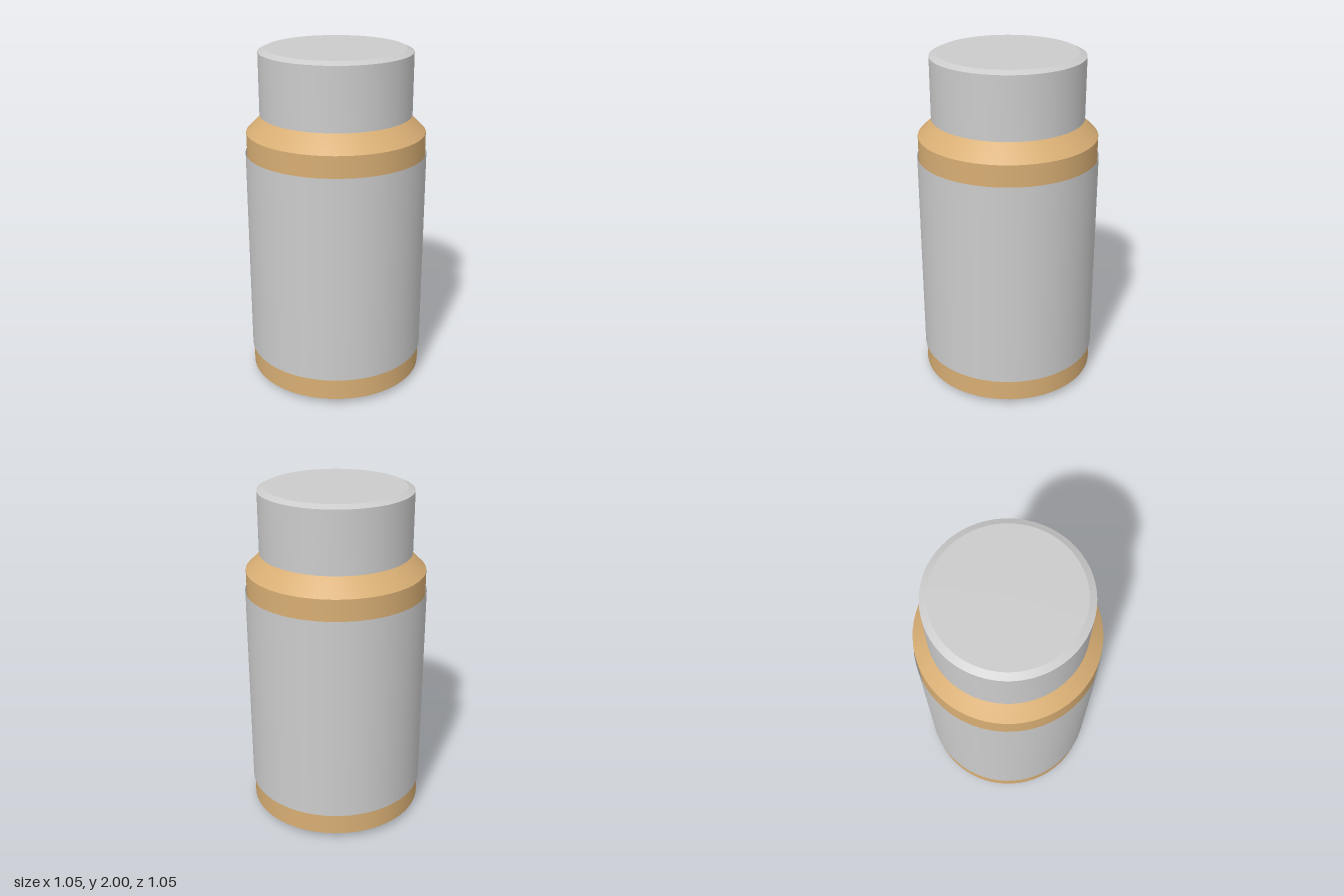
import * as THREE from 'three';
import { toCreasedNormals } from 'three/addons/utils/BufferGeometryUtils.js';

const SEGMENTS = 64;

// Revolves a bottom-to-top [radius, height] profile, keeping its corners sharp
function turned(name, profile, material) {
  const points = profile.map(([r, y]) => new THREE.Vector2(r, y));
  const geometry = toCreasedNormals(new THREE.LatheGeometry(points, SEGMENTS), 0.2);
  const mesh = new THREE.Mesh(geometry, material);
  mesh.name = name;
  return mesh;
}

export function createModel() {
  const model = new THREE.Group();
  model.name = 'bottle';

  const amber = new THREE.MeshStandardMaterial({ color: 0xd8ae74 });
  const grey = new THREE.MeshStandardMaterial({ color: 0xcccccc });
  const thinGrey = new THREE.MeshStandardMaterial({ color: 0xcccccc, side: THREE.DoubleSide });

  // Body: shallow conical base, straight wall, sloped shoulder and neck inside the cap
  model.add(turned('body', [
    [0, 0], [0.518, 0.035], [0.518, 1.525], [0.418, 1.625], [0.4, 1.64], [0.4, 1.9], [0, 1.9],
  ], amber));

  // Label: thin open sleeve standing just off the wall
  const label = new THREE.Mesh(
    new THREE.CylinderGeometry(0.526, 0.526, 1.238, SEGMENTS, 1, true), thinGrey);
  label.name = 'label';
  label.position.y = 0.165 + 1.238 / 2;
  model.add(label);

  // Cap: closed underside, straight wall, bevelled rim and flat top
  model.add(turned('cap', [
    [0, 1.625], [0.439, 1.625], [0.439, 1.982], [0.4, 2], [0, 2],
  ], grey));

  return model;
}
